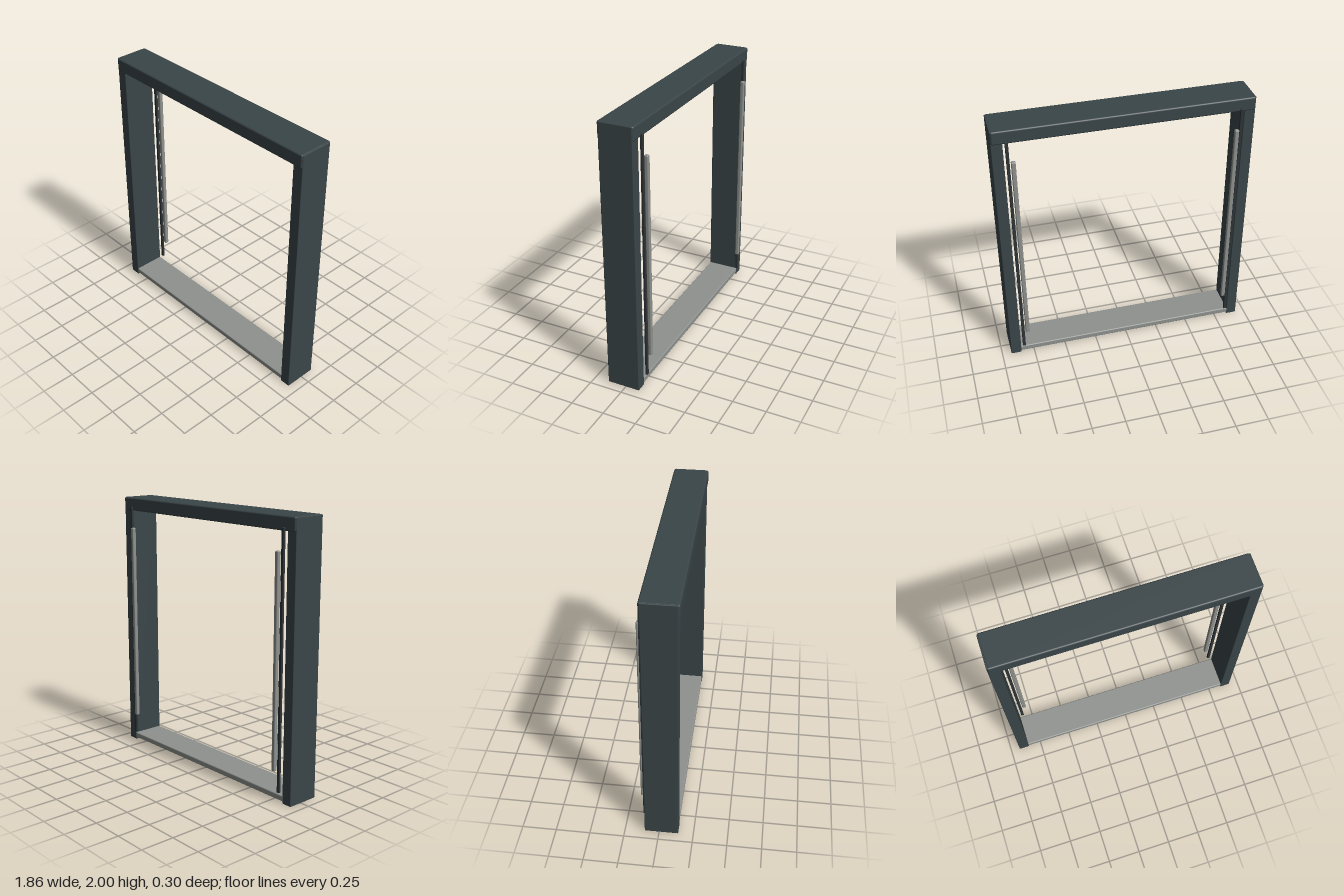
import * as THREE from 'three';
import { RoundedBoxGeometry } from 'three/addons/geometries/RoundedBoxGeometry.js';

const frameMat = new THREE.MeshStandardMaterial({ color: 0x3a4548 });
const railMat = new THREE.MeshStandardMaterial({ color: 0x2e3437 });
const metalMat = new THREE.MeshStandardMaterial({ color: 0x8f928f });

// Softly rounded box given by its minimum and maximum corners
function block(name, material, min, max, radius) {
  const size = max.map((v, i) => v - min[i]);
  const mesh = new THREE.Mesh(new RoundedBoxGeometry(...size, 3, radius), material);
  mesh.position.set(...max.map((v, i) => (v + min[i]) / 2));
  mesh.name = name;
  return mesh;
}

// The same block on the left (+x) and right (-x) sides
function pair(group, name, material, min, max, radius) {
  group.add(block(`${name}Left`, material, min, max, radius));
  group.add(block(`${name}Right`, material, [-max[0], min[1], min[2]], [-min[0], max[1], max[2]], radius));
}

export function createModel() {
  const group = new THREE.Group();
  group.name = 'doorFrame';

  // Side posts and the slightly deeper head beam
  pair(group, 'post', frameMat, [0.85, 0, -0.106], [0.93, 1.998, 0.14], 0.005);
  group.add(block('headBeam', frameMat, [-0.926, 1.9, -0.114], [0.926, 2, 0.148], 0.012));

  // Threshold between the posts
  group.add(block('threshold', metalMat, [-0.855, 0.015, -0.106], [0.855, 0.058, 0.138], 0.008));

  // Thin vertical rails and pull bars behind the opening
  pair(group, 'rail', railMat, [0.815, 0.08, -0.128], [0.837, 1.925, -0.11], 0.003);
  pair(group, 'pullBar', metalMat, [0.777, 0.235, -0.148], [0.808, 1.77, -0.118], 0.008);

  return group;
}
